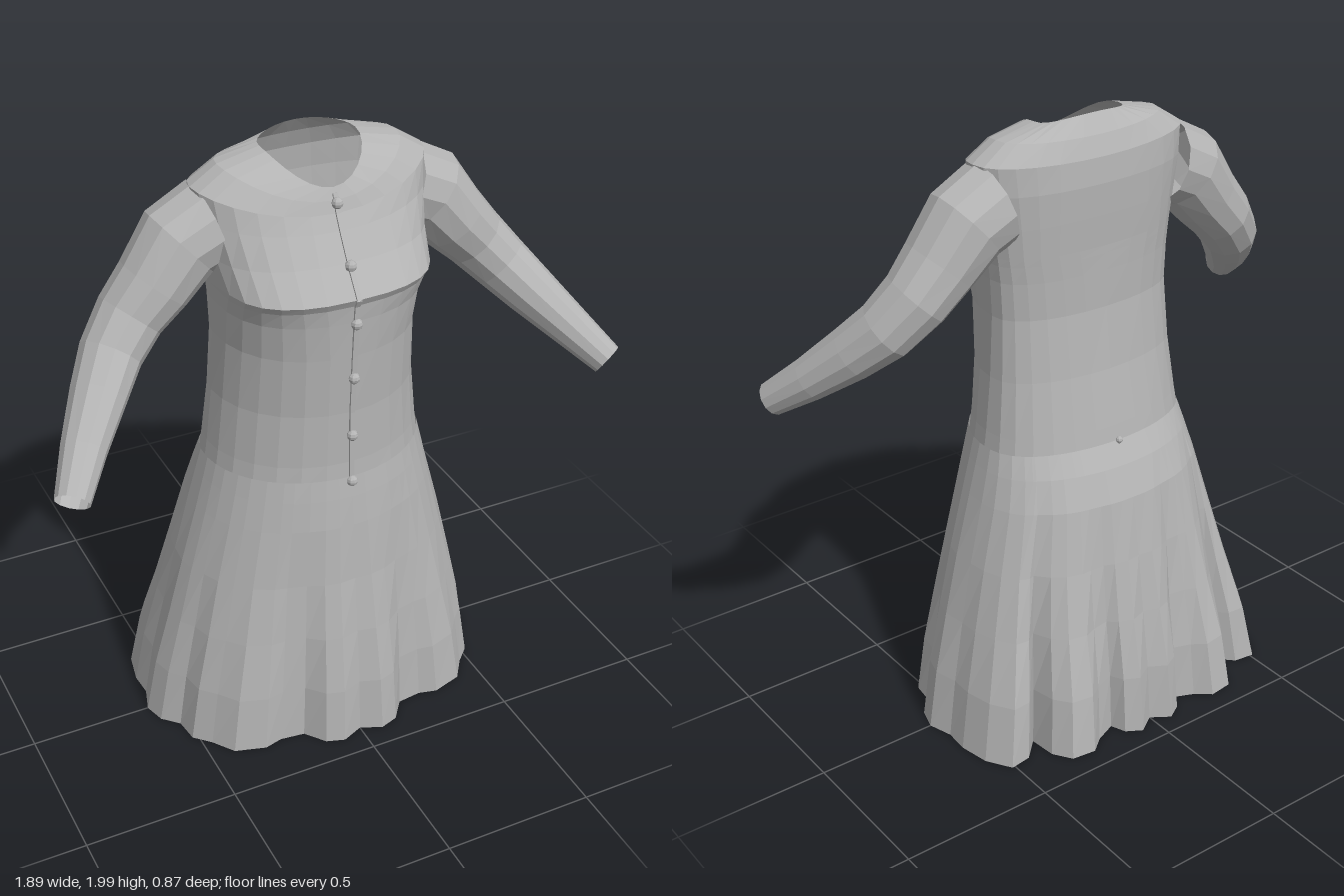
import * as THREE from 'three';

// Skin a stack of closed rings (each an array of Vector3), bottom to top
function loft(rings) {
  const n = rings[0].length, pos = [], idx = [];
  rings.forEach(r => r.forEach(p => pos.push(p.x, p.y, p.z)));
  for (let j = 0; j < rings.length - 1; j++)
    for (let i = 0; i < n; i++) {
      const a = j * n + i, b = j * n + (i + 1) % n;
      idx.push(a, b, b + n, a, b + n, a + n);
    }
  const g = new THREE.BufferGeometry();
  g.setAttribute('position', new THREE.Float32BufferAttribute(pos, 3));
  g.setIndex(idx);
  const flat = g.toNonIndexed();
  flat.computeVertexNormals();
  return flat;
}

// Point on a rounded body section; t = 0 is the front, PI the back.
// box > 0 squares off the front half of the section.
function sectionPoint(t, w, zf, zb, box = 0) {
  const s = Math.sin(t), c = Math.cos(t);
  const pw = c > 0 ? 1 - box : 0.8;
  return [w * Math.sign(s) * Math.abs(s) ** (1 - box * 0.4),
    c > 0 ? zf * c ** pw : zb * (-c) ** pw];
}

// Half of the pleated hem outline, front centre to back centre (x, z)
const HEM = [[0, .4], [.07, .43], [.13, .41], [.18, .345], [.26, .335], [.32, .35], [.42, .32],
  [.47, .25], [.52, .2], [.53, .12], [.58, .07], [.6, 0], [.575, -.08], [.58, -.16], [.56, -.26],
  [.51, -.34], [.44, -.33], [.38, -.27], [.37, -.36], [.33, -.42], [.25, -.43], [.2, -.39],
  [.13, -.36], [.11, -.41], [.06, -.44], [0, -.4]];

// Skirt levels: y, half width, front z, back z, pleat strength
const SKIRT = [[0.005, .595, .43, -.43, 1], [.2, .56, .415, -.41, .85], [.4, .51, .385, -.37, .55],
  [.6, .46, .355, -.335, .25], [.8, .405, .335, -.3, .06], [.9, .378, .322, -.26, 0],
  [.97, .36, .312, -.22, 0]];

// Bodice levels: side y, half width, front z, back z, squareness, front y, back y
const BODICE = [[.94, .362, .31, -.225, 0], [1.02, .35, .305, -.21, 0], [1.2, .33, .305, -.175, 0],
  [1.4, .318, .315, -.15, .1], [1.52, .322, .322, -.15, .25], [1.575, .327, .327, -.15, .4],
  [1.6, .33, .34, -.15, .45], [1.69, .345, .275, -.155, .3, 1.69, 1.7],
  [1.8, .365, .225, -.158, .12, 1.77, 1.8], [1.89, .375, .2, -.15, 0, 1.815, 1.88],
  [1.945, .29, .187, -.125, 0, 1.85, 1.94], [1.975, .155, .17, -.085, 0, 1.885, 1.995]];

// Sleeve stations: x, y, z, radius in elevation, radius in depth
const SLEEVE = [[.32, 1.765, -.01, .135, .135], [.41, 1.72, -.01, .133, .13], [.5, 1.61, 0, .115, .12],
  [.58, 1.525, .005, .103, .11], [.66, 1.435, .045, .094, .1], [.73, 1.355, .12, .084, .09],
  [.82, 1.255, .225, .068, .072], [.9, 1.165, .335, .053, .055]];

function skirtRings() {
  const n = HEM.length - 1;
  return SKIRT.map(([y, w, zf, zb, k]) => {
    const half = HEM.map(([hx, hz], i) => {
      const t = i === 0 ? 0 : i === n ? Math.PI
        : 0.6 * Math.atan2(hx / .6, hz / .43) + 0.4 * Math.PI * i / n;
      const [x, z] = sectionPoint(t, w, zf, zb);
      const f = w / .595, fz = (zf - zb) / .86, mid = (zf + zb) / 2;
      return new THREE.Vector3(x + (hx * f - x) * k, y, z + (hz * fz + mid - z) * k);
    });
    const other = half.slice(1, n).reverse().map(p => new THREE.Vector3(-p.x, p.y, p.z));
    return half.concat(other);
  });
}

function bodiceRings(n = 28) {
  return BODICE.map(([ys, w, zf, zb, box, yf = ys, yb = ys]) =>
    Array.from({ length: n }, (_, i) => {
      const t = i / n * Math.PI * 2, c = Math.cos(t);
      const [x, z] = sectionPoint(t, w, zf, zb, box);
      return new THREE.Vector3(x, ys + ((c > 0 ? yf : yb) - ys) * c * c, z);
    }));
}

function sleeveRings(n = 12) {
  const pts = SLEEVE.map(s => new THREE.Vector3(s[0], s[1], s[2]));
  return pts.map((p, j) => {
    const d = pts[Math.min(j + 1, pts.length - 1)].clone().sub(pts[Math.max(j - 1, 0)]).normalize();
    if (j === 0) d.set(.95, -.3, 0).normalize();
    const b = new THREE.Vector3(0, 0, 1).addScaledVector(d, -d.z).normalize();
    const a = new THREE.Vector3().crossVectors(d, b);
    return Array.from({ length: n }, (_, i) => {
      const t = (i / n) * Math.PI * 2;
      return p.clone().addScaledVector(b, Math.cos(t) * SLEEVE[j][4])
        .addScaledVector(a, Math.sin(t) * SLEEVE[j][3]);
    });
  });
}

// Depth of the front centre line at height y
function frontZ(y) {
  for (let i = 0; i < BODICE.length - 1; i++) {
    const A = BODICE[i], B = BODICE[i + 1], ya = A[5] ?? A[0], yb = B[5] ?? B[0];
    if (y <= yb) return A[2] + (B[2] - A[2]) * (y - ya) / (yb - ya);
  }
  return BODICE.at(-1)[2];
}

export function createModel() {
  const root = new THREE.Group();
  root.name = 'dress';
  const cloth = new THREE.MeshStandardMaterial({ color: 0xb4b4b4, side: THREE.DoubleSide, flatShading: true });
  cloth.name = 'grey cloth';
  const add = (name, geo) => {
    const m = new THREE.Mesh(geo, cloth);
    m.name = name;
    root.add(m);
    return m;
  };

  add('skirt', loft(skirtRings()));
  add('bodice', loft(bodiceRings()));

  // Mirrored sleeves
  const sleeve = loft(sleeveRings());
  add('leftSleeve', sleeve);
  add('rightSleeve', sleeve).scale.x = -1;

  // Narrow placket following the front centre line
  const ys = [.95, 1.2, 1.4, 1.575, 1.6, 1.69, 1.77, 1.815, 1.87];
  for (let i = 0; i < ys.length - 1; i++) {
    const dy = ys[i + 1] - ys[i], dz = frontZ(ys[i + 1]) - frontZ(ys[i]);
    const strip = add('placket', new THREE.BoxGeometry(.016, Math.hypot(dy, dz), .008));
    strip.position.set(0, ys[i] + dy / 2, frontZ(ys[i]) + dz / 2 + .002);
    strip.rotation.x = Math.atan2(dz, dy);
  }

  // Front buttons and one small button at the back waist
  const button = new THREE.SphereGeometry(.018, 8, 6);
  for (const y of [.955, 1.12, 1.325, 1.515, 1.685, 1.845])
    add('button', button).position.set(0, y, frontZ(y) + .006);
  add('backButton', new THREE.SphereGeometry(.012, 8, 6)).position.set(0, .97, -.222);

  return root;
}
